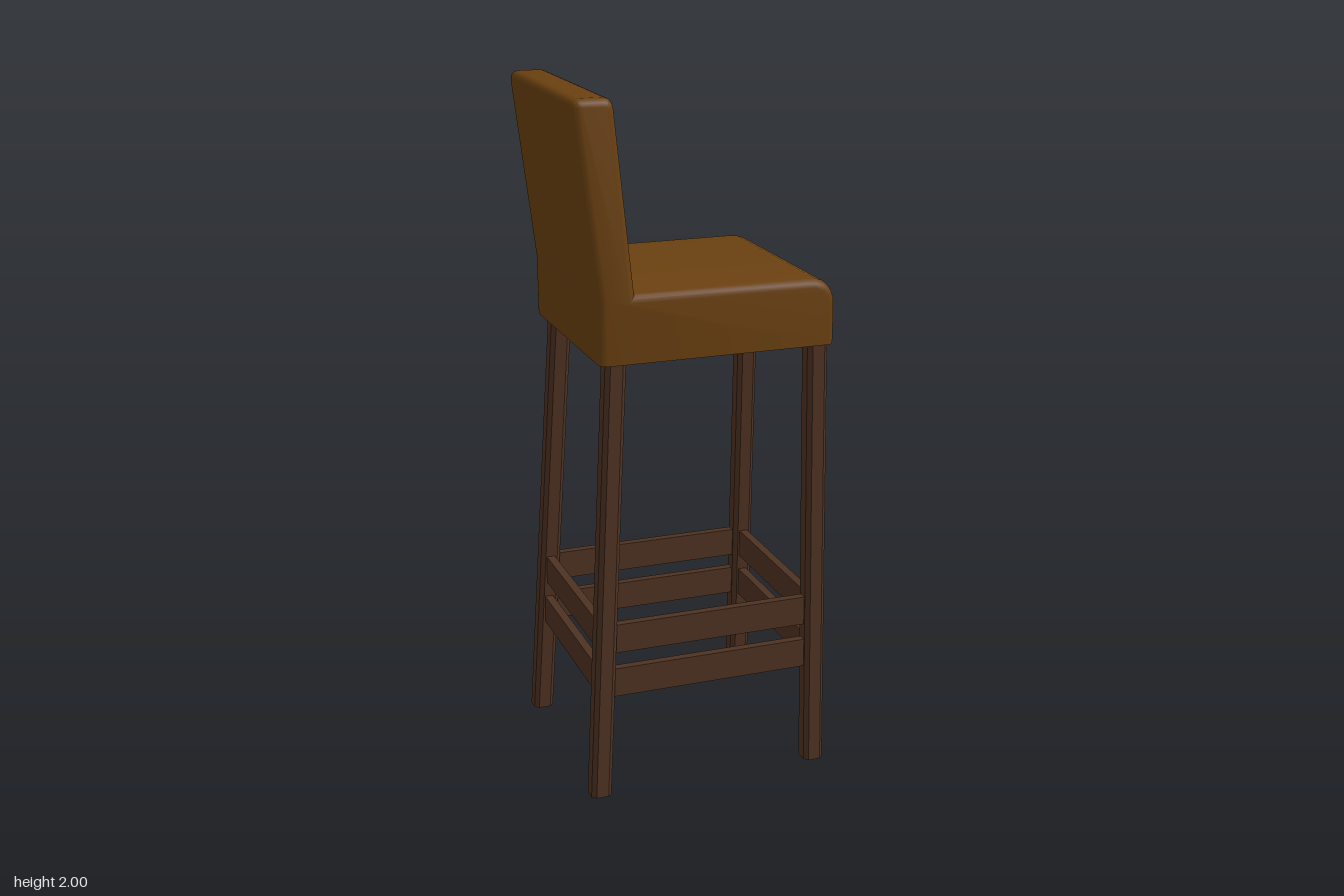
import * as THREE from 'three';
import { toCreasedNormals } from 'three/addons/utils/BufferGeometryUtils.js';

const BOTTOM = 1.285; // underside of the seat

// Rounded polygon from [x, y, radius] corners
function roundedShape(corners) {
  const shape = new THREE.Shape();
  const n = corners.length;
  corners.forEach(([x, y, r], i) => {
    const p = new THREE.Vector2(x, y);
    const toward = (c) => new THREE.Vector2(c[0], c[1]).sub(p).setLength(r).add(p);
    const a = toward(corners[(i + n - 1) % n]);
    const b = toward(corners[(i + 1) % n]);
    if (i === 0) shape.moveTo(a.x, a.y);
    else shape.lineTo(a.x, a.y);
    if (r > 0) shape.quadraticCurveTo(x, y, b.x, b.y);
  });
  shape.closePath();
  return shape;
}

// Seat and backrest: one L-shaped side profile with softened edges
function upholsteryGeometry() {
  const profile = roundedShape([
    [-0.31, BOTTOM, 0], [0.375, BOTTOM, 0], [0.375, 1.475, 0.08],
    [-0.209, 1.475, 0], [-0.265, 2, 0.03], [-0.38, 2, 0.03], [-0.312, 1.46, 0],
  ]);
  const bevel = 0.022, width = 0.622;
  const geo = new THREE.ExtrudeGeometry(profile, {
    depth: width - 2 * bevel, curveSegments: 6, bevelEnabled: true,
    bevelSize: bevel, bevelThickness: bevel, bevelOffset: -bevel, bevelSegments: 3,
  });
  geo.translate(0, 0, -width / 2 + bevel + 0.004);
  // keep the bottom edge flat and sharp
  const pos = geo.attributes.position;
  for (let i = 0; i < pos.count; i++) if (pos.getY(i) < BOTTOM + 0.03) pos.setY(i, BOTTOM);
  return toCreasedNormals(geo, 0.6);
}

// Leg centre line at height y
const legX = (front, y) => (front ? 0.34 : -0.325 + 0.07 * y / BOTTOM);
const legZ = (y) => 0.3 - 0.044 * y / BOTTOM;

// Chamfered square post, leaned by shifting each cross-section
function legGeometry(front, side) {
  const h = 0.03, c = 0.018;
  const section = new THREE.Shape([
    [h, -c], [h, c], [c, h], [-c, h], [-h, c], [-h, -c], [-c, -h], [c, -h],
  ].map(([x, y]) => new THREE.Vector2(x, y)));
  const geo = new THREE.ExtrudeGeometry(section, { depth: BOTTOM + 0.005, bevelEnabled: false });
  geo.rotateX(-Math.PI / 2);
  const pos = geo.attributes.position;
  for (let i = 0; i < pos.count; i++) {
    const y = pos.getY(i);
    pos.setX(i, pos.getX(i) + legX(front, y));
    pos.setZ(i, pos.getZ(i) + side * legZ(y));
  }
  geo.computeVertexNormals();
  return geo;
}

export function createModel() {
  const model = new THREE.Group();
  model.name = 'barStool';
  const leather = new THREE.MeshStandardMaterial({ color: 0x6a4010 });
  leather.name = 'brown leather';
  const wood = new THREE.MeshStandardMaterial({ color: 0x4e3222 });
  wood.name = 'dark wood';

  const add = (name, geo, mat) => {
    const mesh = new THREE.Mesh(geo, mat);
    mesh.name = name;
    model.add(mesh);
    return mesh;
  };

  add('seatAndBackrest', upholsteryGeometry(), leather);

  // Four legs, splayed sideways; the pair under the backrest also leans out
  for (const front of [true, false]) {
    for (const side of [1, -1]) {
      add(front ? 'seatEdgeLeg' : 'backrestLeg', legGeometry(front, side), wood);
    }
  }

  // Two tiers of stretchers between the legs
  const barHeight = 0.086, barThick = 0.025;
  for (const y of [0.343, 0.476]) {
    const x0 = legX(false, y), x1 = legX(true, y), z = legZ(y);
    for (const side of [1, -1]) {
      add('sideStretcher', new THREE.BoxGeometry(x1 - x0, barHeight, barThick), wood)
        .position.set((x0 + x1) / 2, y, side * z);
    }
    for (const x of [x0, x1]) {
      add('crossStretcher', new THREE.BoxGeometry(barThick, barHeight, 2 * z), wood)
        .position.set(x, y, 0);
    }
  }
  return model;
}
